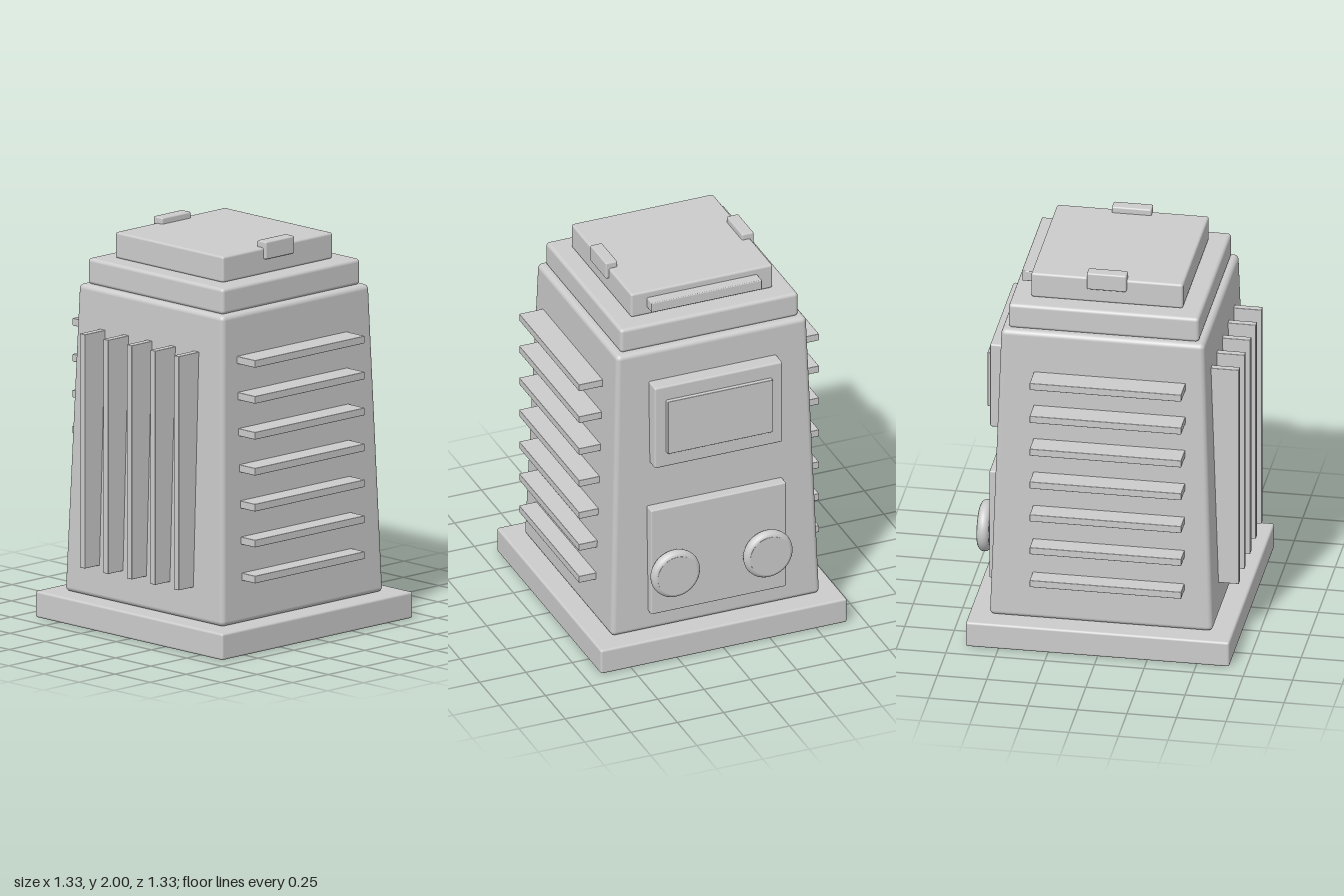
import * as THREE from 'three';
import { RoundedBoxGeometry } from 'three/addons/geometries/RoundedBoxGeometry.js';

export function createModel() {
  const group = new THREE.Group();
  const grey = new THREE.MeshStandardMaterial({ color: 0xcccccc });
  grey.name = 'light grey';

  const add = (name, geometry, parent = group) => {
    const mesh = new THREE.Mesh(geometry, grey);
    mesh.name = name;
    parent.add(mesh);
    return mesh;
  };

  // Box given by its extents on each axis, with softened edges
  const block = (name, [x0, x1], [y0, y1], [z0, z1], radius = 0.005, segments = 2) => {
    const geometry = new RoundedBoxGeometry(x1 - x0, y1 - y0, z1 - z0, segments, radius);
    geometry.translate((x0 + x1) / 2, (y0 + y1) / 2, (z0 + z1) / 2);
    return add(name, geometry);
  };

  // Plinth and stepped top
  block('base', [-0.665, 0.665], [0, 0.135], [-0.665, 0.665], 0.012);
  block('cap', [-0.48, 0.48], [1.703, 1.835], [-0.48, 0.48], 0.018, 3);
  block('lid', [-0.383, 0.383], [1.835, 1.968], [-0.383, 0.383], 0.012);
  block('lidHandle', [0.37, 0.445], [1.878, 1.932], [-0.298, 0.298]);

  // Tapered body
  const bottom = 0.135, top = 1.705;
  const body = new RoundedBoxGeometry(2, top - bottom, 2, 4, 0.025);
  body.translate(0, (top + bottom) / 2, 0);
  const p = body.attributes.position;
  for (let i = 0; i < p.count; i++) {
    const half = THREE.MathUtils.mapLinear(p.getY(i), bottom, top, 0.563, 0.513);
    // keep the corner rounding constant while narrowing the box
    const narrow = (v) => v - Math.sign(v) * (1 - half);
    p.setX(i, narrow(p.getX(i)));
    p.setZ(i, narrow(p.getZ(i)));
  }
  add('body', body);

  // Lid clips and horizontal fins on front and back
  for (const side of [1, -1]) {
    const span = (a, b) => (side > 0 ? [a, b] : [-b, -a]);
    const label = side > 0 ? 'front' : 'back';
    block(label + 'LidClip', [-0.1, 0.1], [1.91, 2], span(0.336, 0.4), 0.008);
    for (let i = 0; i < 7; i++) {
      const y = 0.37 + i * 0.1835;
      block(label + 'Fin', [-0.42, 0.345], [y - 0.019, y + 0.019], span(0.46, 0.648), 0.003, 1);
    }
  }

  // Upright cooling fins on the right
  for (let i = 0; i < 5; i++) {
    const z = (i - 2) * 0.1665;
    block('coolingFin', [-0.66, -0.46], [0.305, 1.5], [z - 0.018, z + 0.018], 0.003, 1);
  }

  // Window and control panel on the left
  block('windowFrame', [0.48, 0.597], [1.072, 1.533], [-0.345, 0.345], 0.01);
  block('window', [0.56, 0.62], [1.155, 1.455], [-0.284, 0.284], 0.004);
  block('controlPanel', [0.48, 0.597], [0.238, 0.835], [-0.365, 0.365], 0.008);

  // Round knobs with a rolled rim
  for (const z of [0.25, -0.25]) {
    const knob = new THREE.Group();
    knob.name = 'knob';
    knob.position.set(0.632, 0.472, z);
    group.add(knob);
    add('knobRim', new THREE.TorusGeometry(0.1, 0.031, 16, 48).rotateY(Math.PI / 2), knob);
    add('knobDisc', new THREE.CylinderGeometry(0.107, 0.107, 0.062, 48).rotateZ(-Math.PI / 2), knob);
    add('knobStem', new THREE.CylinderGeometry(0.09, 0.09, 0.06, 32).rotateZ(-Math.PI / 2), knob).position.x = -0.03;
  }
  return group;
}
